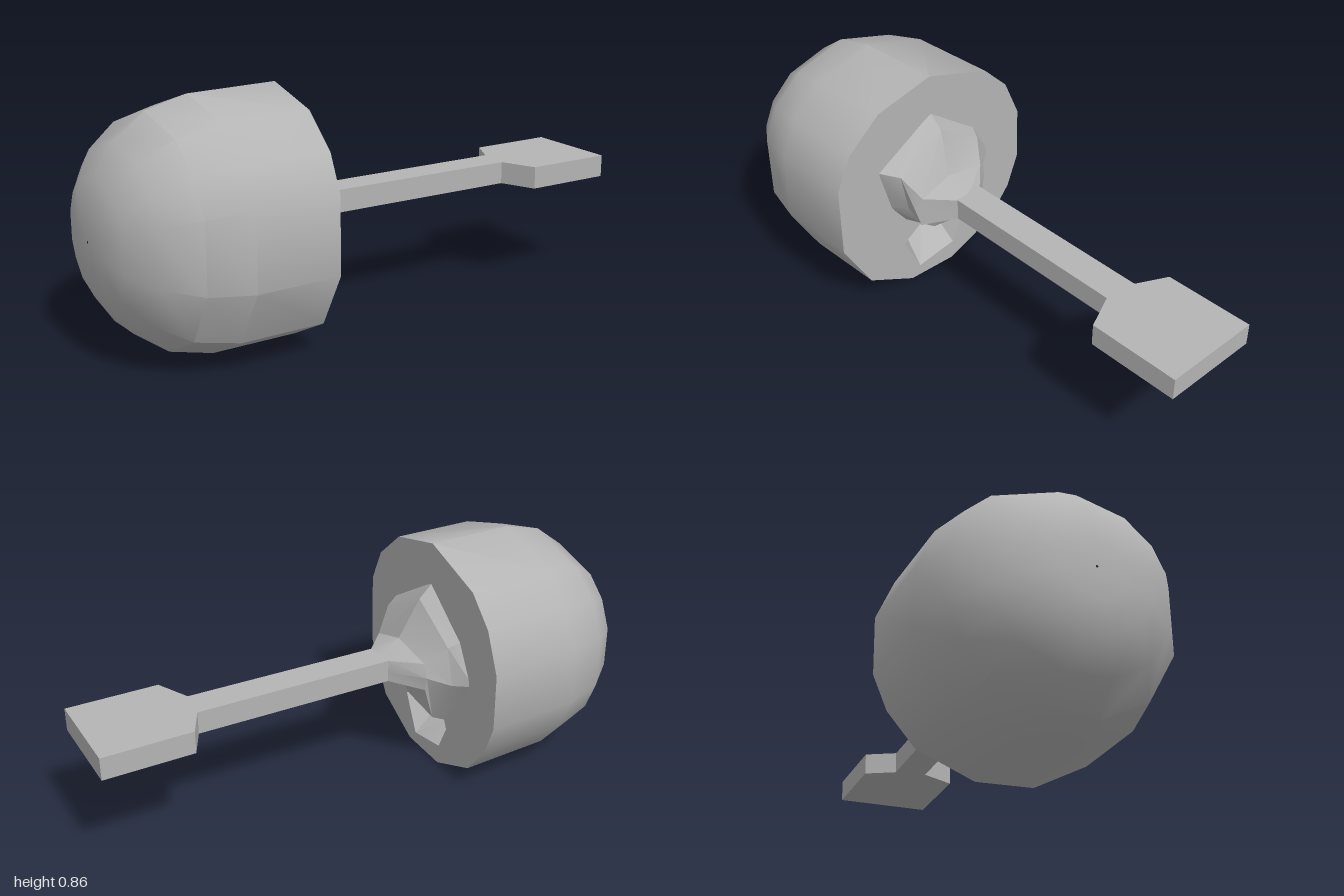
import * as THREE from 'three';
import { toCreasedNormals } from 'three/addons/utils/BufferGeometryUtils.js';

// Tilt of the flat face of the head
const faceX = (z) => -0.315 - 0.06 * z;

// Skin a list of equally long closed loops of [x, y, z] points
function loft(loops, crease) {
  const pos = [], n = loops[0].length;
  for (let j = 0; j < loops.length - 1; j++) {
    for (let i = 0; i < n; i++) {
      const k = (i + 1) % n;
      const a = loops[j][i], b = loops[j][k], c = loops[j + 1][k], d = loops[j + 1][i];
      pos.push(...a, ...b, ...c, ...a, ...c, ...d);
    }
  }
  const g = new THREE.BufferGeometry();
  g.setAttribute('position', new THREE.Float32BufferAttribute(pos, 3));
  return toCreasedNormals(g, crease);
}

export function createModel() {
  const group = new THREE.Group();
  const grey = new THREE.MeshStandardMaterial({ color: 0xb4b4b4 });
  grey.name = 'stoneGrey';
  const add = (name, geometry) => {
    const mesh = new THREE.Mesh(geometry, grey);
    mesh.name = name;
    group.add(mesh);
  };

  // Outlines as [z, y], running counterclockwise seen from +x
  const rim = [[0, 0.855], [0.23, 0.8], [0.36, 0.69], [0.42, 0.565], [0.42, 0.3], [0.31, 0.105], [0.12, 0.005],
    [-0.08, 0.0], [-0.28, 0.085], [-0.375, 0.2], [-0.423, 0.32], [-0.423, 0.525], [-0.36, 0.67], [-0.26, 0.77]];
  const hole = [[0.06, 0.25], [0.15, 0.19], [0.08, 0.047], [-0.085, 0.075], [-0.13, 0.17], [-0.11, 0.215]];

  // Rounded head: the rim outline shrunk towards the far end
  const rings = [[-1, 0.01], [-0.995, 0.24], [-0.97, 0.47], [-0.9, 0.71], [-0.79, 0.9], [-0.64, 0.99]];
  const headLoops = rings.map(([x, s]) => rim.map(([z, y]) => [x, 0.425 + (y - 0.425) * s, z * s]));
  headLoops.push(rim.map(([z, y]) => [faceX(z), y, z]));
  add('head', loft(headLoops, 0.55));

  // Flat face of the head with an opening near the bottom
  const toShape = (pts) => pts.map(([z, y]) => new THREE.Vector2(-z, y));
  const shape = new THREE.Shape(toShape(rim));
  shape.holes.push(new THREE.Path(toShape(hole)));
  const face = new THREE.ShapeGeometry(shape).rotateY(Math.PI / 2);
  const p = face.attributes.position;
  for (let i = 0; i < p.count; i++) p.setX(i, faceX(p.getZ(i)));
  face.computeVertexNormals();
  add('headFace', face);

  // Wedge-shaped pit behind the opening
  const deep = [[0.06, 0.21], [0.08, 0.205], [0.06, 0.19], [-0.06, 0.17], [-0.1, 0.168], [-0.09, 0.18]];
  add('pit', loft([
    hole.map(([z, y]) => [faceX(z), y, z]),
    deep.map(([z, y]) => [-0.46, y, z]),
    deep.map(() => [-0.47, 0.188, -0.01]),
  ], 0.3));

  // Flared hub joining the face to the shaft
  const hubLoops = [
    [null, [[0, 0.71], [0.25, 0.56], [0.2, 0.38], [0.14, 0.3], [0.06, 0.25], [-0.12, 0.2], [-0.28, 0.415], [-0.2, 0.56]]],
    [-0.265, [[0, 0.655], [0.2, 0.55], [0.17, 0.4], [0.11, 0.3], [0.05, 0.25], [-0.1, 0.22], [-0.21, 0.4], [-0.18, 0.535]]],
    [-0.2, [[0.03, 0.505], [0.16, 0.47], [0.17, 0.36], [0.1, 0.36], [0.03, 0.365], [-0.14, 0.37], [-0.15, 0.42], [-0.13, 0.47]]],
    [-0.11, [[0.02, 0.465], [0.075, 0.465], [0.075, 0.385], [0.05, 0.385], [0, 0.385], [-0.035, 0.385], [-0.035, 0.42], [-0.035, 0.465]]],
  ].map(([x, pts]) => pts.map(([z, y]) => [x ?? faceX(z) - 0.01, y, z]));
  add('hub', loft(hubLoops, 0.35));

  // Straight shaft and its squared end plate, as [x, z] outlines
  const bar = (pts) => new THREE.ExtrudeGeometry(
    new THREE.Shape(pts.map(([x, z]) => new THREE.Vector2(x, -z))), { depth: 0.081, bevelEnabled: false },
  ).rotateX(-Math.PI / 2).translate(0, 0.385, 0);
  add('shaft', bar([[-0.12, 0.075], [0.6, 0.108], [0.62, -0.008], [-0.12, -0.037]]));
  add('endPlate', bar([[0.6, 0.108], [0.65, 0.235], [0.98, 0.248], [1, -0.105], [0.68, -0.114], [0.62, -0.008]]));

  return group;
}
